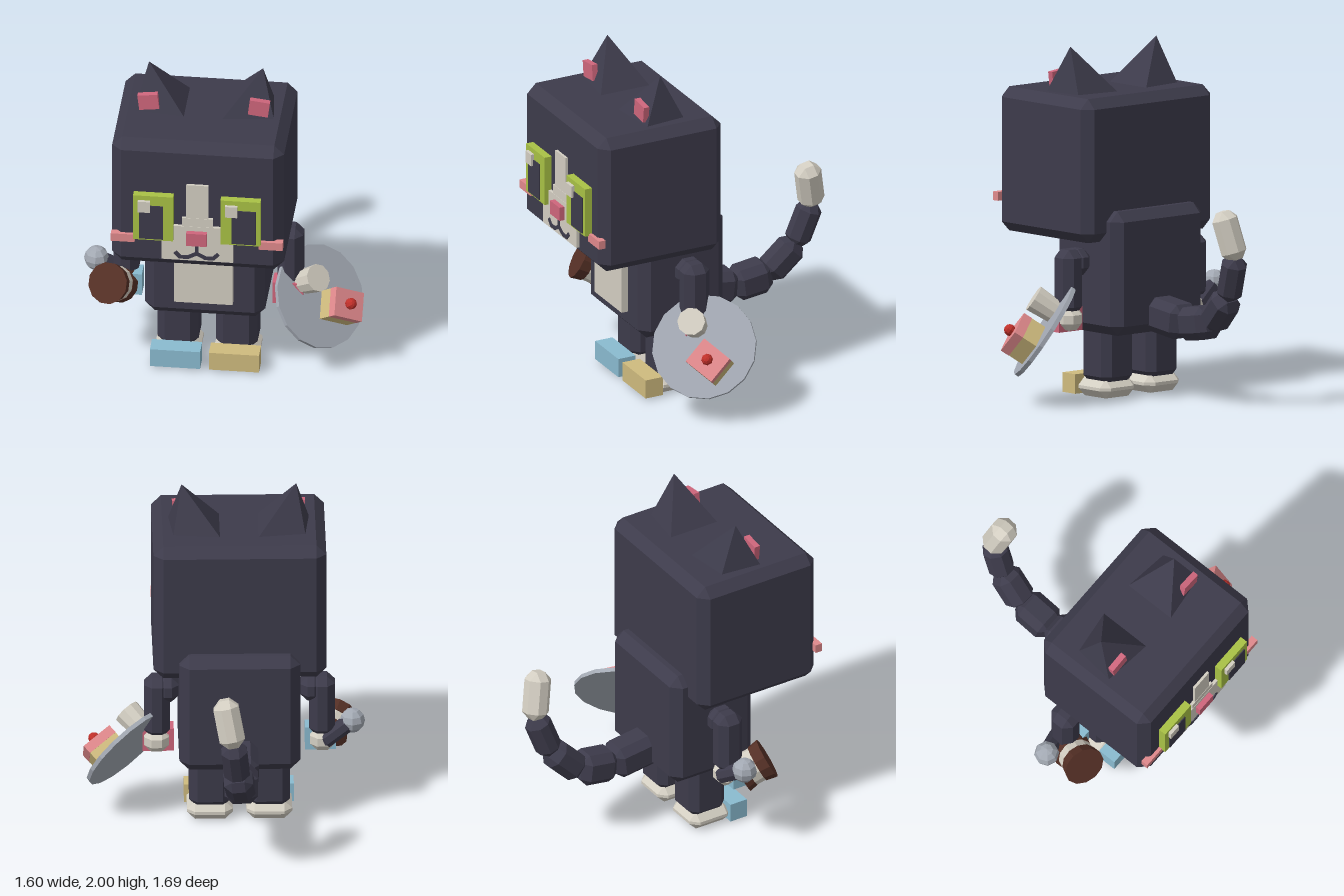
import * as THREE from 'three';
import { ConvexGeometry } from 'three/addons/geometries/ConvexGeometry.js';

const V = (x, y, z) => new THREE.Vector3(x, y, z);
const CX = -0.09; // mirror axis of the character

function paint(name, color) {
  const m = new THREE.MeshStandardMaterial({ color });
  m.name = name;
  return m;
}

// Box with all twelve edges chamfered by c
function chamferBox(w, h, d, c) {
  const pts = [];
  for (const x of [-1, 1]) for (const y of [-1, 1]) for (const z of [-1, 1]) {
    const [a, b, e] = [w / 2, h / 2, d / 2];
    pts.push(V(x * a, y * (b - c), z * (e - c)), V(x * (a - c), y * b, z * (e - c)), V(x * (a - c), y * (b - c), z * e));
  }
  return new ConvexGeometry(pts);
}

// Flat-faced copy of a built-in geometry
function faceted(geometry) {
  const g = geometry.toNonIndexed();
  g.computeVertexNormals();
  return g;
}

export function createModel() {
  const fur = paint('dark fur', 0x3d3b4b);
  const cream = paint('cream', 0xd3cec2);
  const green = paint('eye green', 0xa9c245);
  const rose = paint('rose', 0xcf667c);
  const blush = paint('blush', 0xe0898c);
  const blue = paint('blue', 0x8abbd0);
  const tan = paint('tan', 0xcfbb7e);
  const grey = paint('grey', 0xa3a9b3);
  const brown = paint('brown', 0x553026);
  const red = paint('red', 0xc0302a);

  const model = new THREE.Group();
  model.name = 'cat';
  const add = (name, geometry, material, x = 0, y = 0, z = 0, parent = model) => {
    const mesh = new THREE.Mesh(geometry, material);
    mesh.name = name;
    mesh.position.set(x, y, z);
    parent.add(mesh);
    return mesh;
  };
  // Blocks given by their limits on each axis
  const box = (name, material, x0, x1, y0, y1, z0, z1) =>
    add(name, new THREE.BoxGeometry(x1 - x0, y1 - y0, z1 - z0), material, (x0 + x1) / 2, (y0 + y1) / 2, (z0 + z1) / 2);
  const block = (name, material, x0, x1, y0, y1, z0, z1, c) =>
    add(name, chamferBox(x1 - x0, y1 - y0, z1 - z0, c), material, (x0 + x1) / 2, (y0 + y1) / 2, (z0 + z1) / 2);
  // Chamfered limb between two points
  const limb = (name, material, a, b, w, c) => {
    const mesh = add(name, chamferBox(w, a.distanceTo(b), w, c), material);
    mesh.position.copy(a).lerp(b, 0.5);
    mesh.quaternion.setFromUnitVectors(V(0, 1, 0), b.clone().sub(a).normalize());
    return mesh;
  };

  // Head and body
  block('head', fur, -0.58, 0.4, 0.915, 1.74, -0.015, 0.77, 0.056);
  block('body', fur, -0.43, 0.255, 0.38, 1.09, -0.103, 0.44, 0.056);
  box('belly', cream, -0.255, 0.08, 0.505, 0.93, 0.43, 0.48);

  // Ears, arms and legs, mirrored about the character's middle
  for (const s of [-1, 1]) {
    const X = (d) => CX + s * d;
    add('ear', new ConvexGeometry([
      V(X(0.325), 2, 0.315), V(X(0.106), 1.735, 0.155), V(X(0.106), 1.735, 0.47),
      V(X(0.4), 1.735, 0.435), V(X(0.375), 1.735, 0.19),
    ]), fur);
    const inner = add('innerEar', new THREE.BoxGeometry(0.115, 0.095, 0.035), rose, X(0.315), 1.808, 0.428);
    inner.rotation.z = -s * 0.12;

    block('shoulder', fur, X(0.405) - 0.065, X(0.405) + 0.065, 0.72, 0.87, 0.09, 0.25, 0.045);
    block('arm', fur, X(0.468) - 0.073, X(0.468) + 0.073, 0.5, 0.87, 0.09, 0.25, 0.045);
    block('hand', cream, X(0.47) - 0.07, X(0.47) + 0.07, 0.41, 0.54, 0.09, 0.24, 0.04);
    const m = X(0.46);
    box('handGuard', s < 0 ? blue : rose, m - 0.088, m + 0.088, 0.4, 0.537, 0.16, 0.265);

    const f = X(0.168);
    block('leg', fur, f - 0.118, f + 0.118, 0.08, 0.45, 0.053, 0.29, 0.045);
    block('paw', cream, f - 0.13, f + 0.13, 0.002, 0.11, 0.05, 0.32, 0.045);
    box('toe', s < 0 ? blue : tan, f - 0.143, f + 0.143, 0.013, 0.125, 0.29, 0.4);

    box('cheek', blush, X(0.422) - 0.068, X(0.422) + 0.068, 1.085, 1.135, 0.748, 0.79);
  }

  // Eyes, with both glints on the same side
  for (const [x0, p0] of [[-0.45, -0.415], [0.048, 0.113]]) {
    box('eye', green, x0, x0 + 0.228, 1.122, 1.415, 0.76, 0.815);
    box('pupil', fur, p0, p0 + 0.137, 1.132, 1.352, 0.814, 0.821);
    box('glint', cream, x0 + 0.028, x0 + 0.098, 1.315, 1.386, 0.81, 0.835);
  }

  // Muzzle, nose and mouth
  box('muzzle', cream, -0.29, 0.118, 0.985, 1.21, 0.76, 0.789);
  box('lowerBlaze', cream, -0.175, 0.002, 1.2, 1.265, 0.76, 0.787);
  box('blaze', cream, -0.15, -0.024, 1.24, 1.485, 0.76, 0.785);
  box('nose', rose, -0.147, -0.03, 1.1, 1.182, 0.78, 0.82);
  box('mouthStem', fur, -0.1, -0.08, 1.02, 1.1, 0.786, 0.795);
  const mouth = [[0.0, 1.035], [0.05, 1.008], [0.095, 1.008], [0.12, 1.035]];
  for (const s of [-1, 1]) for (let i = 0; i < 3; i++) {
    const [[ax, ay], [bx, by]] = [mouth[i], mouth[i + 1]];
    const bar = add('mouth', new THREE.BoxGeometry(Math.hypot(bx - ax, by - ay) + 0.01, 0.022, 0.009), fur,
      CX + s * (ax + bx) / 2, (ay + by) / 2, 0.791);
    bar.rotation.z = s * Math.atan2(by - ay, bx - ax);
  }

  // Tail of five segments with a cream tip
  const tail = [V(-0.09, 0.49, -0.05), V(-0.09, 0.455, -0.32), V(-0.085, 0.485, -0.54),
    V(-0.06, 0.65, -0.705), V(-0.035, 0.89, -0.79), V(0.015, 1.15, -0.735)];
  const widths = [0.2, 0.19, 0.165, 0.145, 0.145];
  for (let i = 0; i < 5; i++) {
    const over = tail[i + 1].clone().sub(tail[i]).normalize().multiplyScalar(0.015);
    limb(i < 4 ? 'tail' : 'tailTip', i < 4 ? fur : cream, tail[i].clone().sub(over), tail[i + 1], widths[i], 0.045);
  }

  // Drum, rod and ball held in the right hand
  limb('rod', fur, V(-0.55, 0.46, 0.12), V(-0.72, 0.57, 0.17), 0.09, 0.025);
  add('ball', faceted(new THREE.SphereGeometry(0.072, 8, 6)), grey, -0.73, 0.575, 0.175);
  const drum = new THREE.Group();
  drum.name = 'drum';
  drum.position.set(-0.615, 0.495, 0.305);
  drum.quaternion.setFromUnitVectors(V(0, 1, 0), V(-0.31, 0.47, 0.82).normalize());
  model.add(drum);
  add('drumBand', faceted(new THREE.CylinderGeometry(0.103, 0.103, 0.09, 12)), cream, 0, 0, 0, drum);
  add('drumFront', faceted(new THREE.CylinderGeometry(0.12, 0.108, 0.065, 12)), brown, 0, 0.06, 0, drum);
  add('drumBack', faceted(new THREE.CylinderGeometry(0.105, 0.115, 0.05, 12)), brown, 0, -0.055, 0, drum);

  // Plate with a cake and a cup, tilted forward and outward
  const n = V(0.64, 0.55, 0.53).normalize();
  const u = V(0, 0.707, -0.707).addScaledVector(n, -n.dot(V(0, 0.707, -0.707))).normalize();
  const v = u.clone().cross(n);
  const tray = new THREE.Group();
  tray.name = 'servingPlate';
  tray.position.set(0.54, 0.415, 0.19);
  tray.quaternion.setFromRotationMatrix(new THREE.Matrix4().makeBasis(u, n, v));
  model.add(tray);
  add('plate', faceted(new THREE.CylinderGeometry(0.3, 0.3, 0.025, 16)), grey, 0, 0, 0, tray);
  const at = V(0.08, -0.08, -0.01);
  const [cu, cv] = [at.dot(u), at.dot(v)];
  add('cake', new THREE.BoxGeometry(0.165, 0.1, 0.19), tan, cu, 0.055, cv, tray);
  add('icing', new THREE.BoxGeometry(0.167, 0.055, 0.192), blush, cu, 0.13, cv, tray);
  add('cherry', faceted(new THREE.SphereGeometry(0.034, 8, 6)), red, cu, 0.175, cv, tray);
  const cup = V(0.5, 0.555, 0.24).sub(tray.position);
  add('cup', faceted(new THREE.CylinderGeometry(0.08, 0.07, 0.15, 10)), cream, cup.dot(u), 0.075, cup.dot(v), tray);

  return model;
}
